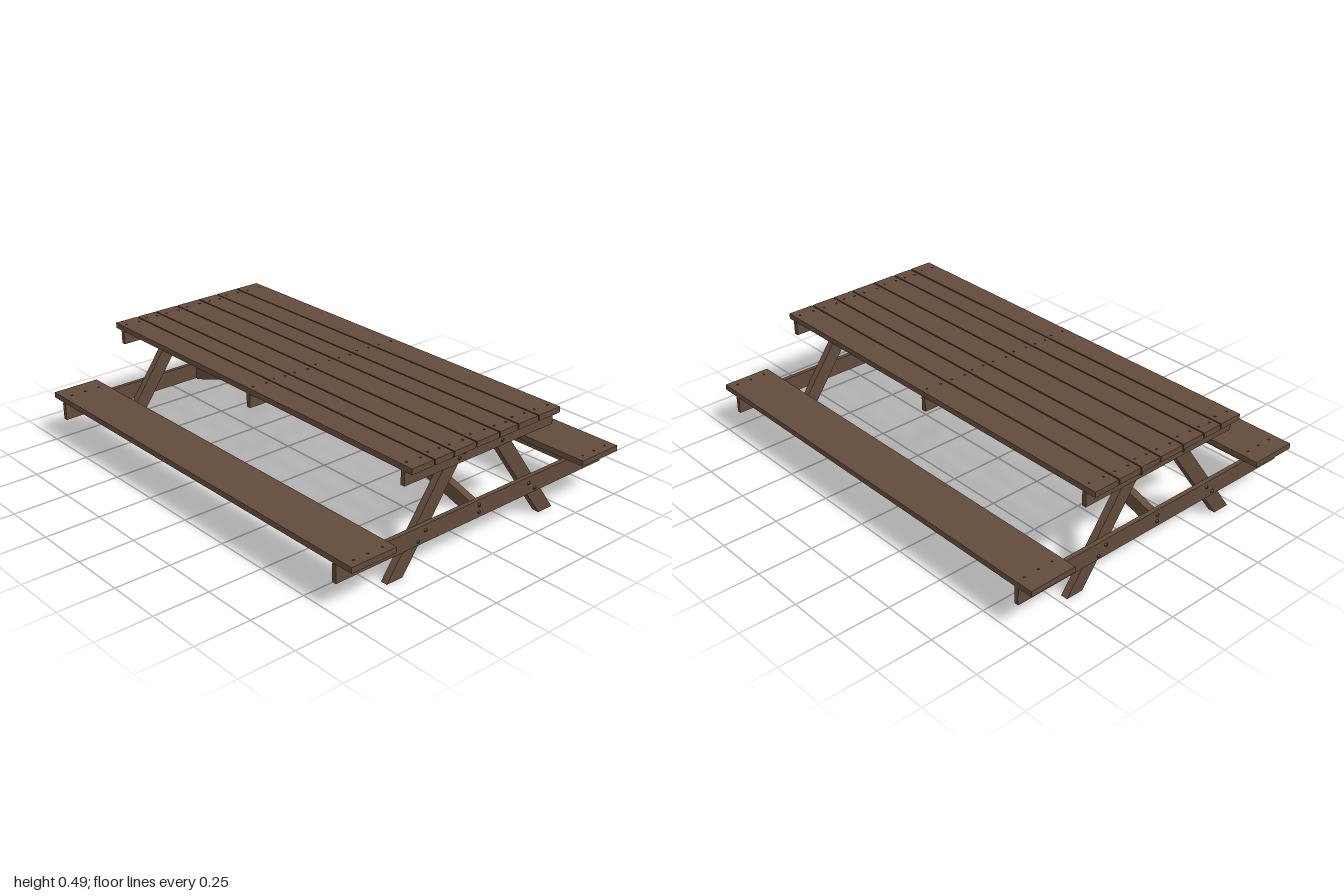
import * as THREE from 'three';

export function createModel() {
  const group = new THREE.Group();
  const wood = new THREE.MeshStandardMaterial({ color: 0x624b3b });
  wood.name = 'brown wood';
  const metal = new THREE.MeshStandardMaterial({ color: 0x43362d });
  metal.name = 'dark fixings';

  const add = (name, geometry, material = wood) => {
    const mesh = new THREE.Mesh(geometry, material);
    mesh.name = name;
    group.add(mesh);
    return mesh;
  };

  // Box given by its lower and upper limits on each axis
  const plank = (name, [x0, x1], [y0, y1], [z0, z1]) => {
    const mesh = add(name, new THREE.BoxGeometry(x1 - x0, y1 - y0, z1 - z0));
    mesh.position.set((x0 + x1) / 2, (y0 + y1) / 2, (z0 + z1) / 2);
    return mesh;
  };

  // Flat outline in x,y given a thickness along z
  const slab = (name, points, depth) => {
    const shape = new THREE.Shape(points.map(([x, y]) => new THREE.Vector2(x, y)));
    return add(name, new THREE.ExtrudeGeometry(shape, { depth, bevelEnabled: false }));
  };

  const boltGeometry = new THREE.CylinderGeometry(0.005, 0.008, 0.006, 10);
  const nailGeometry = new THREE.CylinderGeometry(0.005, 0.005, 0.003, 8);
  const nail = (x, y, z) => add('nail', nailGeometry, metal).position.set(x, y, z);

  // Table top boards, with narrow gaps
  const edges = [-0.412, -0.297, -0.195, -0.074, 0.054, 0.16, 0.28, 0.405];
  for (let i = 0; i < edges.length - 1; i++) {
    const a = edges[i] + (i ? 0.003 : 0);
    const b = edges[i + 1] - (i < 6 ? 0.003 : 0);
    const shift = -0.0008 * i;
    plank('tableBoard', [a, b], [0.466, 0.491], [-0.971 + shift, 0.957 + shift]);
    for (const z of [-0.92, 0.008, 0.905]) {
      for (const t of [0.22, 0.78]) nail(a + (b - a) * t, 0.4915, z - 0.012 + 0.008 * ((i + t * 5) % 2));
    }
  }

  // Benches and the long rail under each
  for (const s of [-1, 1]) {
    const span = (a, b) => [Math.min(s * a, s * b), Math.max(s * a, s * b)];
    plank('benchSeat', span(0.52, 0.74), [0.205, 0.23], [-1, 1]);
    plank('benchRail', span(0.613, 0.647), [0.13, 0.206], [-0.912, 0.897]);
    for (const z of [-0.92, 0.965]) for (const x of [0.56, 0.63, 0.7]) nail(s * x, 0.2305, z);
  }

  // Rail under the middle of the top
  plank('middleRail', [-0.41, 0.407], [0.403, 0.466], [-0.011, 0.011]);

  // End frames: legs inside, cross beam and top rail outside
  const boltPoints = [
    [-0.125, 0.425], [-0.098, 0.442], [0.08, 0.452], [0.113, 0.425],
    [-0.292, 0.178], [-0.33, 0.143], [0.288, 0.177], [0.327, 0.143],
    [-0.63, 0.18], [-0.63, 0.155], [0.63, 0.18], [0.63, 0.155], [0, 0.18], [0, 0.15],
  ];
  for (const [dir, joint] of [[1, 0.897], [-1, -0.912]]) {
    const outer = [joint, joint + dir * 0.02].sort((a, b) => a - b);
    plank('topRail', [-0.41, 0.407], [0.403, 0.466], outer);
    plank('crossBeam', [-0.74, 0.74], [0.126, 0.203], outer).rotation.z = 0.003;
    for (const s of [-1, 1]) {
      const points = [[0.387, 0], [0.468, 0], [0.139, 0.46], [0.058, 0.46]].map(([x, y]) => [s * x, y]);
      slab('leg', points, 0.032).position.z = dir > 0 ? joint - 0.032 : joint;
    }
    for (const [x, y] of boltPoints) {
      const bolt = add('bolt', boltGeometry, metal);
      bolt.rotation.x = dir * Math.PI / 2;
      bolt.position.set(x, y, joint + dir * 0.023);
    }

    // Sloping brace from the middle rail down to the cross beam
    const reach = Math.abs(joint);
    const drop = 0.31 * reach;
    const brace = slab('brace', [[0, 0.402], [reach, 0.402 - drop], [reach, 0.466 - drop], [0, 0.466]], 0.035);
    brace.rotation.y = -dir * Math.PI / 2;
    brace.position.x = -0.003 + dir * 0.0175;
  }

  return group;
}
